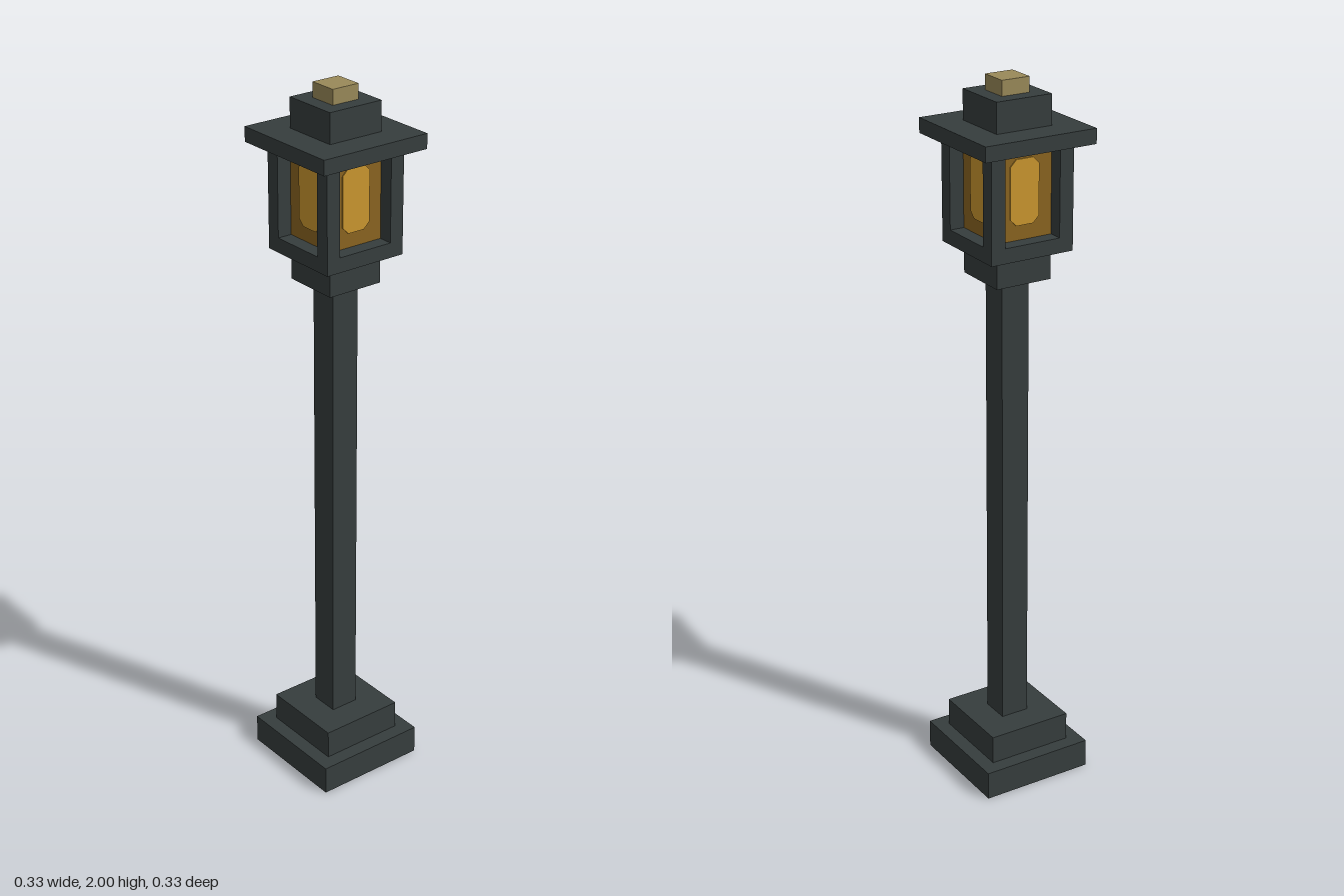
import * as THREE from 'three';

const U = 2 / 49; // modular block size

function material(name, color) {
  const m = new THREE.MeshStandardMaterial({ color });
  m.name = name;
  return m;
}

export function createModel() {
  const lamp = new THREE.Group();
  lamp.name = 'streetLamp';
  const iron = material('darkIron', 0x363d3d);
  const brass = material('brass', 0x998959);
  const amber = material('amberGlass', 0x8a6420);
  const glow = material('warmGlow', 0xca962f);

  // Square block: width and vertical span in units
  function block(name, width, y0, y1, mat, x = 0, z = 0) {
    const geo = new THREE.BoxGeometry(width * U, (y1 - y0) * U, width * U);
    const mesh = new THREE.Mesh(geo, mat);
    mesh.name = name;
    mesh.position.set(x * U, (y0 + y1) / 2 * U, z * U);
    lamp.add(mesh);
  }

  // Stepped foot, pole and lantern support
  block('footPlate', 8, 0, 2, iron);
  block('footStep', 6, 2, 4, iron);
  block('pole', 2, 4, 36, iron);
  block('collar', 4, 36, 38, iron);
  block('lanternTray', 6, 38, 39, iron);

  // Glass core and the four corner posts
  block('glass', 4, 39, 45, amber);
  for (const x of [-2.5, 2.5])
    for (const z of [-2.5, 2.5]) block('cornerPost', 1, 39, 45, iron, x, z);

  // Roof, cap and finial
  block('roof', 8, 45, 46, iron);
  block('roofCap', 4, 46, 48, iron);
  block('finial', 2, 48, 49, brass);

  // Bright chamfered patch on each pane
  const w = 0.043, h = 0.087, c = 0.018;
  const patch = new THREE.Shape([
    [-w + c, -h], [w - c, -h], [w, -h + c], [w, h - c],
    [w - c, h], [-w + c, h], [-w, h - c], [-w, -h + c],
  ].map(([x, y]) => new THREE.Vector2(x, y)));
  const patchGeo = new THREE.ExtrudeGeometry(patch, { depth: 0.003, bevelEnabled: false });
  patchGeo.translate(0, 42 * U + 0.004, 2 * U);
  for (let i = 0; i < 4; i++) {
    const mesh = new THREE.Mesh(patchGeo, glow);
    mesh.name = 'paneGlow';
    mesh.rotation.y = i * Math.PI / 2;
    lamp.add(mesh);
  }
  return lamp;
}
